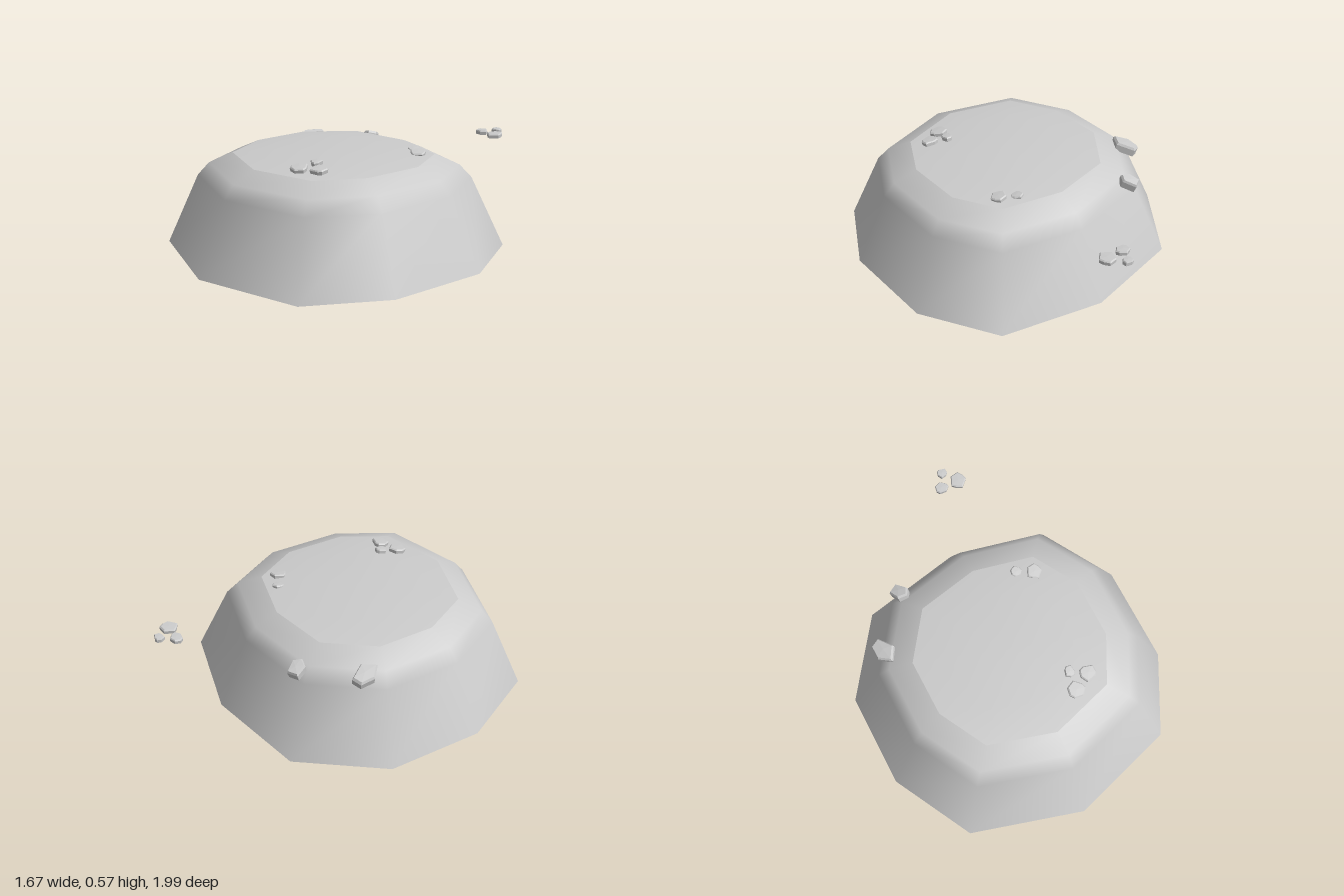
import * as THREE from 'three';

const material = new THREE.MeshStandardMaterial({ color: 0xcccccc, side: THREE.DoubleSide });
const stoneMaterial = new THREE.MeshStandardMaterial({ color: 0xcccccc, side: THREE.DoubleSide, flatShading: true });

// Scales one outline about its centre into stacked rings [scale, y] and skins
// them; an apex height closes the top with a fan.
function shell(outline, rings, apex) {
  const n = outline.length, pos = [], idx = [];
  for (const [s, y] of rings) for (const [x, z] of outline) pos.push(x * s, y, z * s);
  for (let r = 0; r < rings.length - 1; r++) {
    for (let i = 0; i < n; i++) {
      const a = r * n + i, b = r * n + (i + 1) % n;
      idx.push(a, b, b + n, a, b + n, a + n);
    }
  }
  if (apex !== undefined) {
    const top = (rings.length - 1) * n;
    pos.push(0, apex, 0);
    for (let i = 0; i < n; i++) idx.push(top + i, top + (i + 1) % n, rings.length * n);
  }
  const g = new THREE.BufferGeometry();
  g.setAttribute('position', new THREE.Float32BufferAttribute(pos, 3));
  g.setIndex(idx);
  g.computeVertexNormals();
  return g;
}

// Irregular flat stone, open underneath
function stone(name, x, y, z, rx, rz, height, sides, seed, tiltX, tiltZ) {
  const outline = [];
  for (let i = 0; i < sides; i++) {
    const a = -(i + 0.25 * Math.sin(seed * 3 + i * 2)) / sides * Math.PI * 2 + seed;
    const k = 1 + 0.1 * Math.sin(seed * 7 + i * 4);
    outline.push([Math.cos(a) * rx * k, Math.sin(a) * rz * k]);
  }
  const h = height / 2;
  const mesh = new THREE.Mesh(shell(outline, [[0.95, -h], [1, h * 0.5], [0.86, h]], h * 1.1), stoneMaterial);
  mesh.name = name;
  mesh.position.set(x, y, z);
  mesh.rotation.set(tiltX, 0, tiltZ);
  return mesh;
}

export function createModel() {
  const model = new THREE.Group();
  model.name = 'stonyMound';

  // Ten-sided hollow mound, outline counter-clockwise about its centre
  const outline = [
    [0.02, 0.85], [0.61, 0.66], [0.83, 0.24], [0.83, -0.32], [0.59, -0.73],
    [0.03, -0.85], [-0.54, -0.72], [-0.84, -0.29], [-0.83, 0.24], [-0.59, 0.68],
  ];
  const mound = new THREE.Group();
  mound.name = 'mound';
  mound.position.z = 0.15;
  const walls = new THREE.Mesh(shell(outline, [[1, 0], [0.805, 0.385], [0.735, 0.455], [0.59, 0.512]]), material);
  walls.name = 'moundWalls';
  const cap = new THREE.Mesh(shell(outline, [[0.59, 0.512], [0.38, 0.531]], 0.536), material);
  cap.name = 'moundCap';
  mound.add(walls, cap);
  model.add(mound);

  // Clusters of pebbles: [x, y, z, radiusX, radiusZ]
  const clusters = [
    { name: 'frontPebbles', tiltX: 0.15, tiltZ: -0.05, stones: [
      [0.21, 0.55, 0.40, 0.03, 0.032], [0.295, 0.537, 0.445, 0.045, 0.045], [0.2, 0.534, 0.5, 0.045, 0.052]] },
    { name: 'backPebbles', tiltX: 0.03, tiltZ: 0.02, stones: [
      [0.13, 0.498, -0.97, 0.028, 0.028], [0.09, 0.494, -0.89, 0.036, 0.036], [0.19, 0.494, -0.89, 0.046, 0.046]] },
    { name: 'buriedPebbles', tiltX: 0.12, tiltZ: -0.12, stones: [
      [0.225, 0.516, -0.24, 0.03, 0.035], [0.31, 0.523, -0.195, 0.045, 0.042]] },
  ];
  clusters.forEach(({ name, tiltX, tiltZ, stones }, c) => {
    const group = new THREE.Group();
    group.name = name;
    stones.forEach(([x, y, z, rx, rz], i) =>
      group.add(stone('pebble', x, y, z, rx, rz, 0.024, 7, c + i + 1, tiltX, tiltZ)));
    model.add(group);
  });

  // Larger rocks set into the slope
  model.add(stone('sideRock', -0.595, 0.457, -0.17, 0.06, 0.08, 0.05, 5, 1.2, -0.1, 0.25));
  model.add(stone('backRock', -0.38, 0.447, -0.44, 0.05, 0.055, 0.05, 5, 2.4, -0.3, 0.15));
  return model;
}
